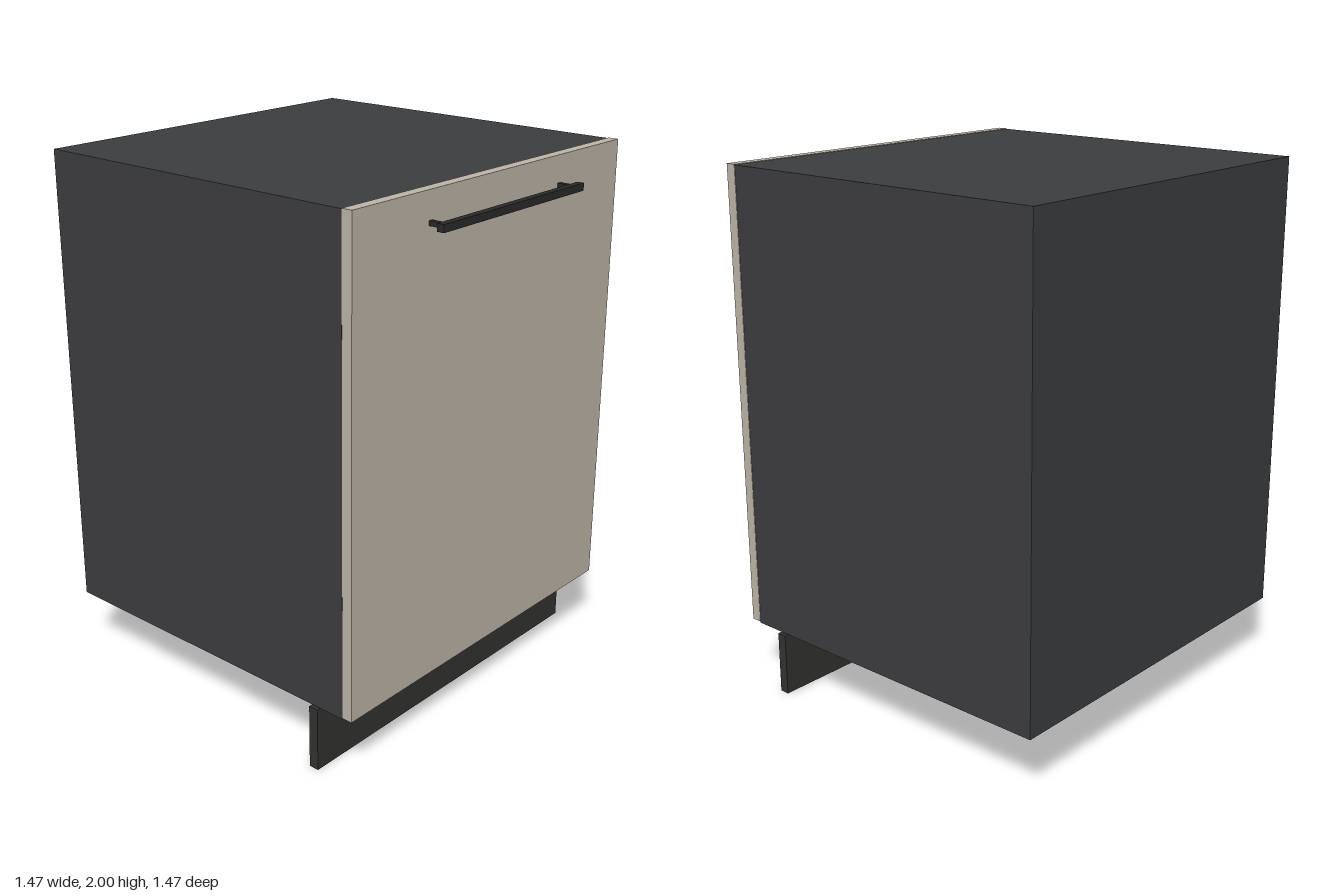
import * as THREE from 'three';

// Box given by its [min, max] extent along each axis
function block(name, x, y, z, color) {
  const geometry = new THREE.BoxGeometry(x[1] - x[0], y[1] - y[0], z[1] - z[0]);
  const mesh = new THREE.Mesh(geometry, new THREE.MeshStandardMaterial({ color }));
  mesh.position.set((x[0] + x[1]) / 2, (y[0] + y[1]) / 2, (z[0] + z[1]) / 2);
  mesh.name = name;
  return mesh;
}

export function createModel() {
  const model = new THREE.Group();
  model.name = 'cabinet';
  const bodyColor = 0x3d3e40, doorColor = 0xbfb7aa, plinthColor = 0x333331, handleColor = 0x2a2a2a;

  // Closed carcass, door panel over its front, recessed toe board below
  model.add(
    block('body', [-0.727, 0.727], [0.25, 1.998], [-0.733, 0.613], bodyColor),
    block('door', [-0.728, 0.728], [0.255, 2], [0.614, 0.654], doorColor),
    block('plinth', [-0.733, 0.733], [0, 0.242], [0.466, 0.504], plinthColor)
  );

  // Bar handle on two posts
  const handle = new THREE.Group();
  handle.name = 'handle';
  handle.add(block('handleBar', [-0.39, 0.39], [1.88, 1.907], [0.706, 0.733], handleColor));
  for (const side of [-1, 1]) {
    const x = side * 0.356;
    handle.add(block('handlePost', [x - 0.009, x + 0.009], [1.885, 1.902], [0.654, 0.706], handleColor));
  }
  model.add(handle);
  return model;
}
